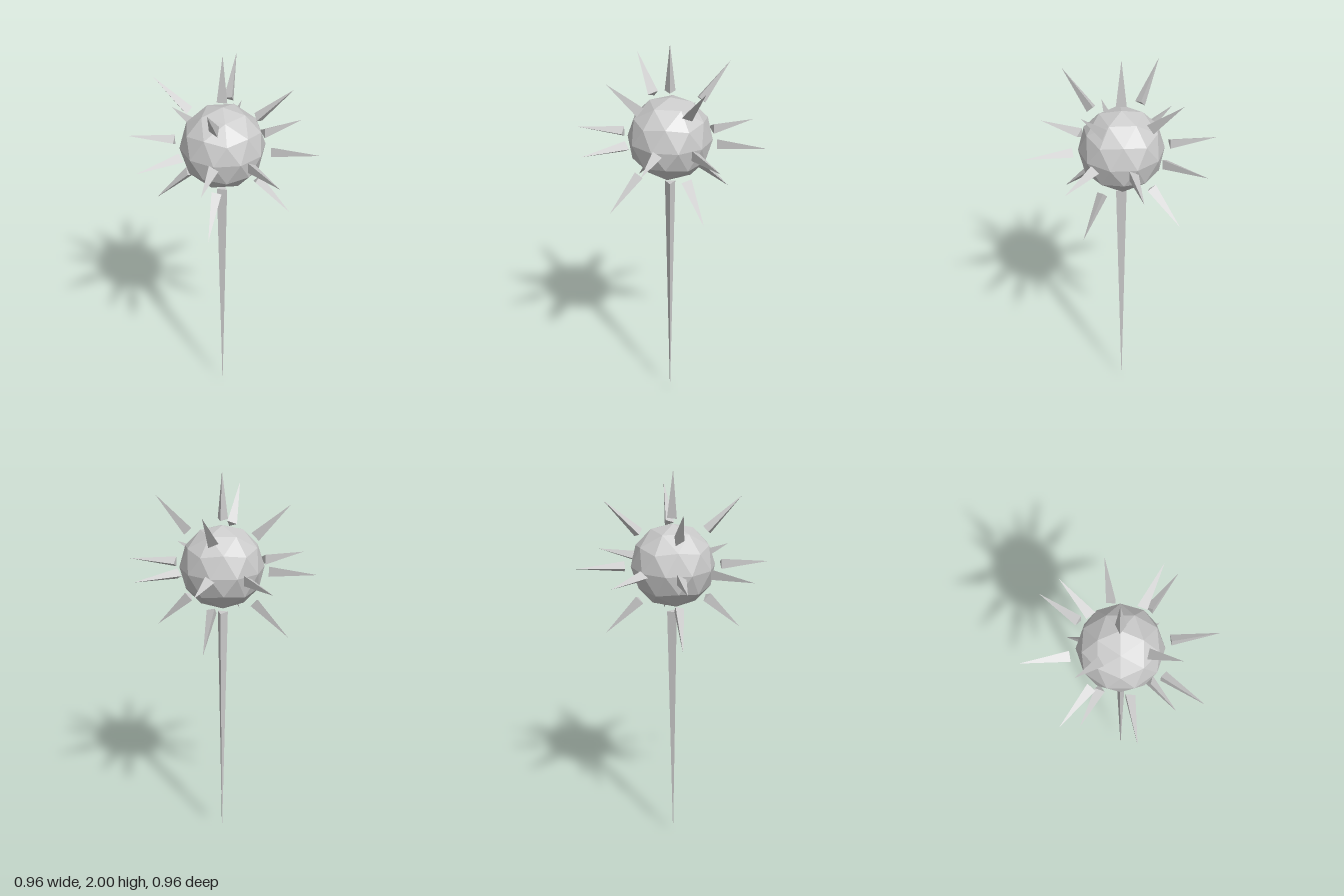
import * as THREE from 'three';

const CENTER_Y = 1.52;
const BALL_RADIUS = 0.21;
const SPIKE_START = 0.24; // distance from the ball centre to a spike's base
const SPIKE_RADIUS = 0.03;

export function createModel() {
  const model = new THREE.Group();
  model.name = 'spikedBall';
  const material = new THREE.MeshStandardMaterial({ color: 0xcccccc, flatShading: true });

  // Faceted ball, turned so that one corner points straight up
  const ballGeometry = new THREE.IcosahedronGeometry(BALL_RADIUS, 1);
  ballGeometry.rotateZ(-Math.atan(2 / (1 + Math.sqrt(5))));
  const ball = new THREE.Mesh(ballGeometry, material);
  ball.name = 'ball';
  ball.position.y = CENTER_Y;
  model.add(ball);

  // Three-sided spike along direction; one base corner points towards ridge
  function addSpike(name, direction, ridge, length = 0.24) {
    const geometry = new THREE.ConeGeometry(SPIKE_RADIUS, length, 3);
    geometry.translate(0, SPIKE_START + length / 2, 0);
    const spike = new THREE.Mesh(geometry, material);
    const d = direction.clone().normalize();
    const side = new THREE.Vector3().crossVectors(d, ridge);
    spike.quaternion.setFromRotationMatrix(new THREE.Matrix4().makeBasis(side, d, ridge));
    spike.position.y = CENTER_Y;
    spike.name = name;
    model.add(spike);
  }

  const vec = (x, y, z) => new THREE.Vector3(x, y, z);

  // Top spike and the long handle spike below
  addSpike('topSpike', vec(0, 1, 0), vec(0, 0, -1));
  addSpike('handle', vec(0, -1, 0), vec(0, 0, -1), CENTER_Y - SPIKE_START);

  // Ring of eight spikes around the middle
  for (let i = 0; i < 8; i++) {
    const a = (i * Math.PI) / 4;
    addSpike('middleSpike', vec(Math.sin(a), 0, Math.cos(a)), vec(Math.cos(a), 0, -Math.sin(a)));
  }

  // Four slanted spikes above and four below
  for (const up of [1, -1]) {
    const name = up > 0 ? 'upperSpike' : 'lowerSpike';
    for (const out of [1, -1]) {
      addSpike(name, vec(out, up, 0), vec(0, 0, 1));
      addSpike(name, vec(0, up, out), vec(-up, 0, 0));
    }
  }

  return model;
}
